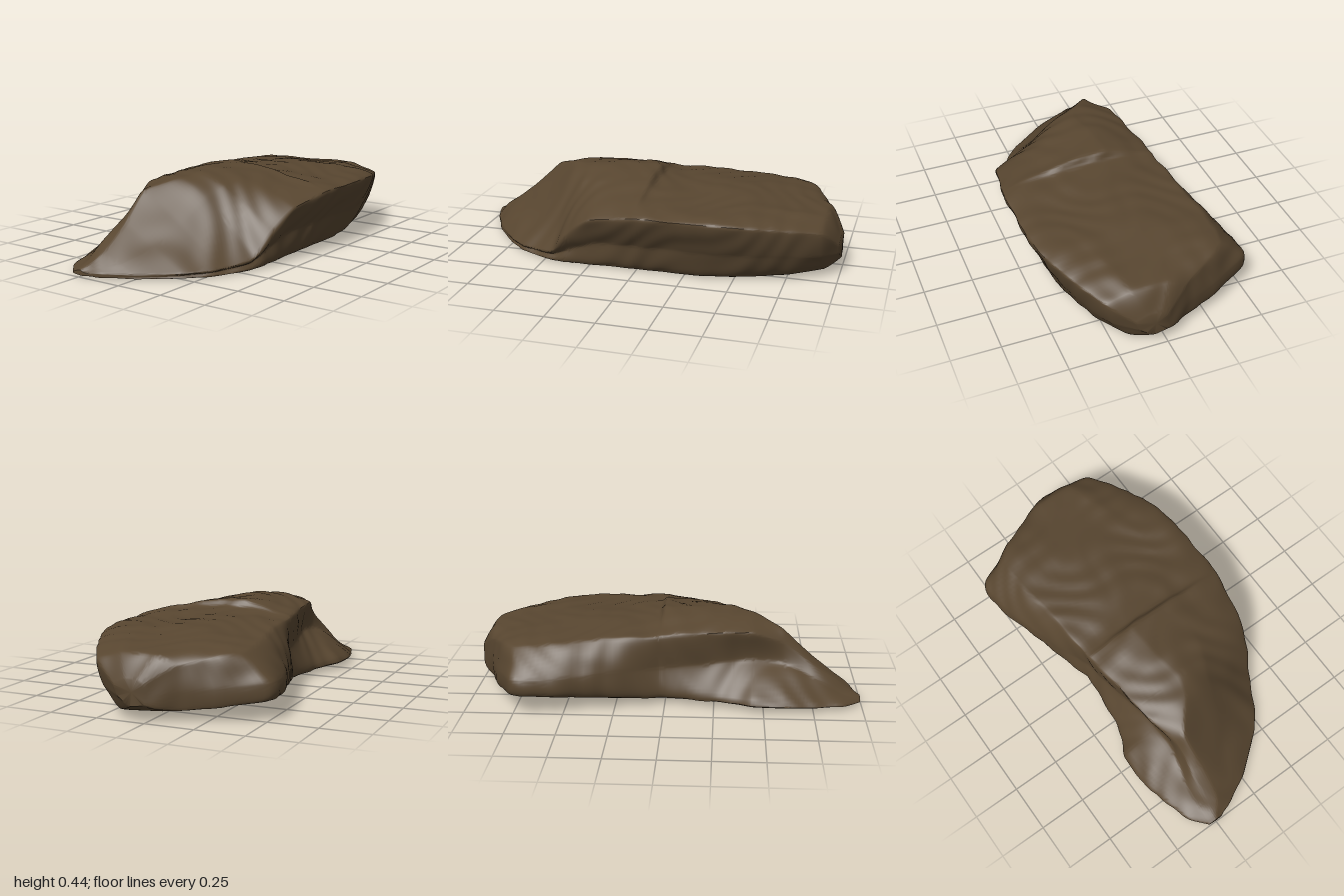
import * as THREE from 'three';
import { toCreasedNormals } from 'three/addons/utils/BufferGeometryUtils.js';

// Stations along the boulder, from the front tip to the blunt back
const STATIONS = [0.995, 0.9, 0.75, 0.6, 0.45, 0.35, 0.22, 0, -0.05, -0.3, -0.55, -0.76, -0.92, -0.995];
// Edge lines running front to back: x and y at every station
const RAILS = {
  foot: {
    x: [-0.29, -0.36, -0.41, -0.445, -0.435, -0.385, -0.35, -0.335, -0.34, -0.4, -0.48, -0.48, -0.13, 0],
    y: [0.02, 0.025, 0.03, 0.04, 0.04, 0.035, 0.035, 0.04, 0.04, 0.06, 0.09, 0.1, 0.06, 0.09] },
  wall: {
    x: [-0.28, -0.29, -0.27, -0.24, -0.245, -0.26, -0.285, -0.325, -0.335, -0.43, -0.505, -0.505, -0.15, 0],
    y: [0.03, 0.065, 0.14, 0.2, 0.22, 0.22, 0.21, 0.2, 0.2, 0.2, 0.19, 0.19, 0.15, 0.125] },
  leftRidge: {
    x: [-0.25, -0.24, -0.23, -0.225, -0.265, -0.285, -0.3, -0.325, -0.33, -0.345, -0.38, -0.37, -0.13, 0.01],
    y: [0.04, 0.1, 0.2, 0.31, 0.37, 0.38, 0.38, 0.37, 0.365, 0.36, 0.345, 0.32, 0.27, 0.18] },
  crownLeft: {
    x: [-0.24, -0.18, -0.17, -0.17, -0.06, -0.03, -0.05, -0.07, -0.06, -0.03, -0.03, -0.05, -0.02, 0.04],
    y: [0.04, 0.11, 0.22, 0.365, 0.415, 0.43, 0.445, 0.437, 0.398, 0.38, 0.37, 0.345, 0.315, 0.2] },
  crownRight: {
    x: [-0.23, -0.08, 0.01, 0.05, 0.1, 0.14, 0.18, 0.16, 0.2, 0.3, 0.28, 0.2, 0.16, 0.1],
    y: [0.035, 0.07, 0.14, 0.225, 0.335, 0.385, 0.405, 0.425, 0.39, 0.365, 0.36, 0.34, 0.31, 0.2] },
  rightEdge: {
    x: [-0.21, -0.01, 0.19, 0.3, 0.38, 0.42, 0.465, 0.495, 0.5, 0.5, 0.465, 0.38, 0.29, 0.16],
    y: [0.03, 0.035, 0.04, 0.05, 0.08, 0.19, 0.29, 0.33, 0.335, 0.335, 0.325, 0.3, 0.27, 0.17] },
  undercut: {
    x: [-0.21, -0.01, 0.185, 0.29, 0.36, 0.38, 0.395, 0.41, 0.415, 0.42, 0.4, 0.34, 0.26, 0.14],
    y: [0.02, 0.02, 0.025, 0.03, 0.045, 0.09, 0.14, 0.16, 0.16, 0.16, 0.16, 0.15, 0.14, 0.12] },
  baseRight: {
    x: [-0.22, -0.02, 0.17, 0.28, 0.34, 0.35, 0.355, 0.35, 0.35, 0.345, 0.31, 0.24, 0.16, 0.07],
    y: [0.015, 0.012, 0.01, 0.008, 0.008, 0.008, 0.008, 0.008, 0.008, 0.008, 0.015, 0.025, 0.04, 0.08] },
};
const ALONG = 130;
const AROUND = 96;

// Worn, chipped relief
function relief(x, y, z) {
  const broad = Math.sin(9 * x + 4 * z + 5 * y + 2 * Math.sin(4 * z))
    * Math.sin(8 * z - 6 * x + 1.3 + Math.sin(7 * x));
  const fine = Math.sin(23 * x + 17 * y + 3 * Math.sin(9 * z)) * Math.sin(27 * z + 11 * y + 2 * Math.sin(13 * x));
  return 0.006 * broad + 0.0045 * fine;
}

function boulderGeometry() {
  const rails = Object.values(RAILS).map(({ x, y }) => new THREE.CatmullRomCurve3(
    STATIONS.map((z, i) => new THREE.Vector3(x[i], y[i], z)), false, 'catmullrom', 0.3));
  const points = [];
  const index = [];

  // Loft closed rings through the rails
  for (let i = 0; i <= ALONG; i++) {
    const ring = new THREE.CatmullRomCurve3(
      rails.map((rail) => rail.getPoint(i / ALONG)), true, 'catmullrom', 0.2);
    for (let j = 0; j < AROUND; j++) points.push(ring.getPoint(j / AROUND));
  }
  for (let i = 0; i < ALONG; i++) {
    for (let j = 0; j < AROUND; j++) {
      const a = i * AROUND + j;
      const b = i * AROUND + (j + 1) % AROUND;
      index.push(a, b, a + AROUND, b, b + AROUND, a + AROUND);
    }
  }

  // Close both ends
  for (const start of [0, ALONG * AROUND]) {
    const centre = new THREE.Vector3();
    for (let j = 0; j < AROUND; j++) centre.addScaledVector(points[start + j], 1 / AROUND);
    const c = points.push(centre) - 1;
    for (let j = 0; j < AROUND; j++) {
      const a = start + j;
      const b = start + (j + 1) % AROUND;
      if (start === 0) index.push(c, b, a);
      else index.push(c, a, b);
    }
  }

  const geometry = new THREE.BufferGeometry().setFromPoints(points);
  geometry.setIndex(index);
  geometry.computeVertexNormals();

  // Push the surface in and out, keeping the underside nearly flat
  const pos = geometry.attributes.position;
  const normal = geometry.attributes.normal;
  points.forEach((p, i) => {
    const n = new THREE.Vector3().fromBufferAttribute(normal, i);
    p.addScaledVector(n, relief(p.x, p.y, p.z) * (n.y < -0.8 ? 0.25 : 1));
    pos.setXYZ(i, p.x, Math.max(p.y, 0), p.z);
  });
  return toCreasedNormals(geometry, 0.7);
}

export function createModel() {
  const stone = new THREE.MeshStandardMaterial({ color: 0x584630 });
  stone.name = 'brown stone';
  const boulder = new THREE.Mesh(boulderGeometry(), stone);
  boulder.name = 'boulder';
  const group = new THREE.Group();
  group.name = 'rock';
  group.add(boulder);
  return group;
}
